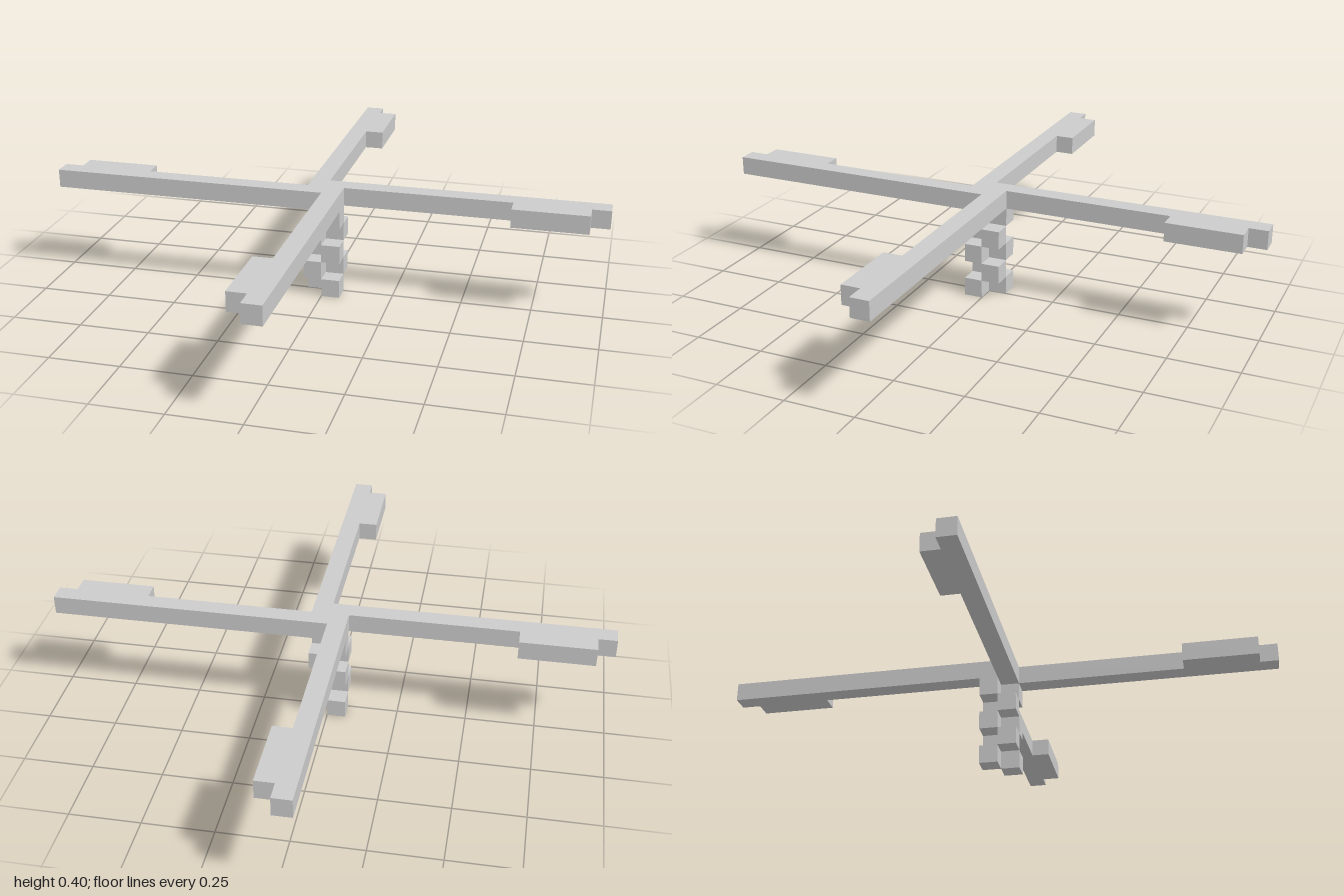
import * as THREE from 'three';

const U = 1 / 15; // one cube of the block grid

export function createModel() {
  const model = new THREE.Group();
  const material = new THREE.MeshStandardMaterial({ color: 0xcccccc, flatShading: true });

  // Four-bladed rotor: one blade's outline, turned a quarter each time
  const blade = [[1, 0], [10, 0], [10, -1], [14, -1], [14, 0], [15, 0], [15, 1]];
  const outline = [];
  for (let i = 0; i < 4; i++) {
    for (const [x, y] of blade) {
      outline.push(new THREE.Vector2(x * U, y * U).rotateAround(new THREE.Vector2(), i * Math.PI / 2));
    }
  }
  const rotorGeometry = new THREE.ExtrudeGeometry(new THREE.Shape(outline), { depth: U, bevelEnabled: false });
  rotorGeometry.rotateX(-Math.PI / 2);
  const rotor = new THREE.Mesh(rotorGeometry, material);
  rotor.name = 'rotorBlades';
  rotor.position.y = 5 * U;
  model.add(rotor);

  // Shaft: diagonal pairs of cubes, alternating direction on each layer
  const shaft = new THREE.Group();
  shaft.name = 'shaft';
  const cube = new THREE.BoxGeometry(U, U, U);
  for (let layer = 0; layer < 5; layer++) {
    const diagonal = layer % 2 === 0 ? 1 : -1;
    for (const side of [-1, 1]) {
      const block = new THREE.Mesh(cube, material);
      block.name = 'shaftBlock';
      block.position.set(side * U / 2, (layer + 0.5) * U, side * diagonal * U / 2);
      shaft.add(block);
    }
  }
  model.add(shaft);

  return model;
}
